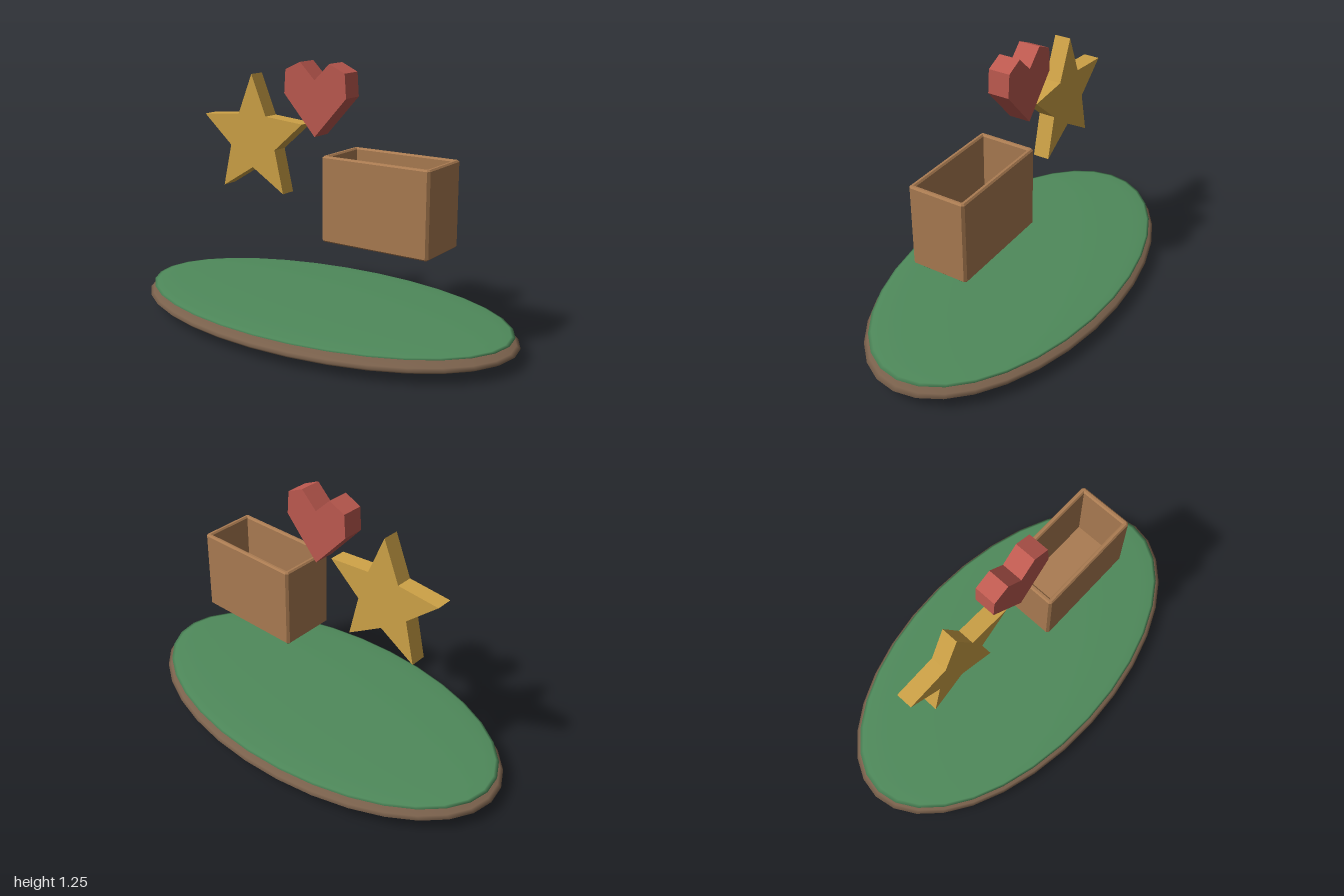
import * as THREE from 'three';

const paint = (color, extra = {}) => new THREE.MeshStandardMaterial({ color, ...extra });

function addMesh(parent, name, geometry, material, x = 0, y = 0, z = 0) {
  const mesh = new THREE.Mesh(geometry, material);
  mesh.name = name;
  mesh.position.set(x, y, z);
  parent.add(mesh);
  return mesh;
}

const shapeOf = (points) => new THREE.Shape(points.map(([x, y]) => new THREE.Vector2(x, y)));

// Flat slab cut from an outline, centred on z = 0
function slab(points, depth) {
  return new THREE.ExtrudeGeometry(shapeOf(points), { depth, bevelEnabled: false })
    .translate(0, 0, -depth / 2);
}

// Rectangle with clipped corners
function clippedRect(w, h, c) {
  const a = w / 2, b = h / 2;
  return [[-a + c, -b], [a - c, -b], [a, -b + c], [a, b - c],
    [a - c, b], [-a + c, b], [-a, b - c], [-a, -b + c]];
}

export function createModel() {
  const model = new THREE.Group();
  model.name = 'floatingDisplay';

  // Flattened oval island with a thin grass cap
  const dome = new THREE.SphereGeometry(1, 32, 16);
  addMesh(model, 'earthBase', dome, paint(0x7a614c), 0, 0.06, 0).scale.set(1, 0.06, 0.545);
  addMesh(model, 'grassTop', dome, paint(0x4f8a5b), 0, 0.105, 0).scale.set(0.975, 0.018, 0.525);

  // Open box: bevelled wall ring plus a floor
  const box = new THREE.Group();
  box.name = 'openBox';
  box.position.set(0.372, 0.455, 0);
  model.add(box);
  const wood = paint(0xab7c52, { flatShading: true });
  const W = 0.545, H = 0.395, D = 0.28, wall = 0.024, bevel = 0.007;
  const ring = shapeOf(clippedRect(W - 2 * bevel, D - 2 * bevel, 0.007));
  const inner = clippedRect(W - 2 * wall + 2 * bevel, D - 2 * wall + 2 * bevel, 0.002);
  ring.holes.push(new THREE.Path(inner.reverse().map(([x, y]) => new THREE.Vector2(x, y))));
  const walls = new THREE.ExtrudeGeometry(ring, {
    depth: H - 2 * bevel, bevelSize: bevel, bevelThickness: bevel, bevelSegments: 1,
  });
  walls.rotateX(-Math.PI / 2);
  addMesh(box, 'boxWalls', walls, wood, 0, bevel, 0);
  addMesh(box, 'boxFloor', new THREE.BoxGeometry(W - 0.03, wall, D - 0.03), wood, 0, wall / 2, 0);

  // Five-pointed star
  const star = Array.from({ length: 10 }, (_, i) => {
    const a = Math.PI / 2 + i * Math.PI / 5, r = i % 2 ? 0.14 : 0.309;
    return [Math.cos(a) * r, Math.sin(a) * r];
  });
  addMesh(model, 'star', slab(star, 0.08), paint(0xcfa347, { flatShading: true }), -0.374, 0.865, 0);

  // Faceted heart, mirrored from its right half
  const half = [[0.171, 0.188], [0.163, 0.299], [0.08, 0.337]];
  const heart = [[0, 0], ...half, [0, 0.259], ...half.map(([x, y]) => [-x, y]).reverse()];
  addMesh(model, 'heart', slab(heart, 0.104), paint(0xbe5a50, { flatShading: true }), 0, 0.912, 0);

  return model;
}
